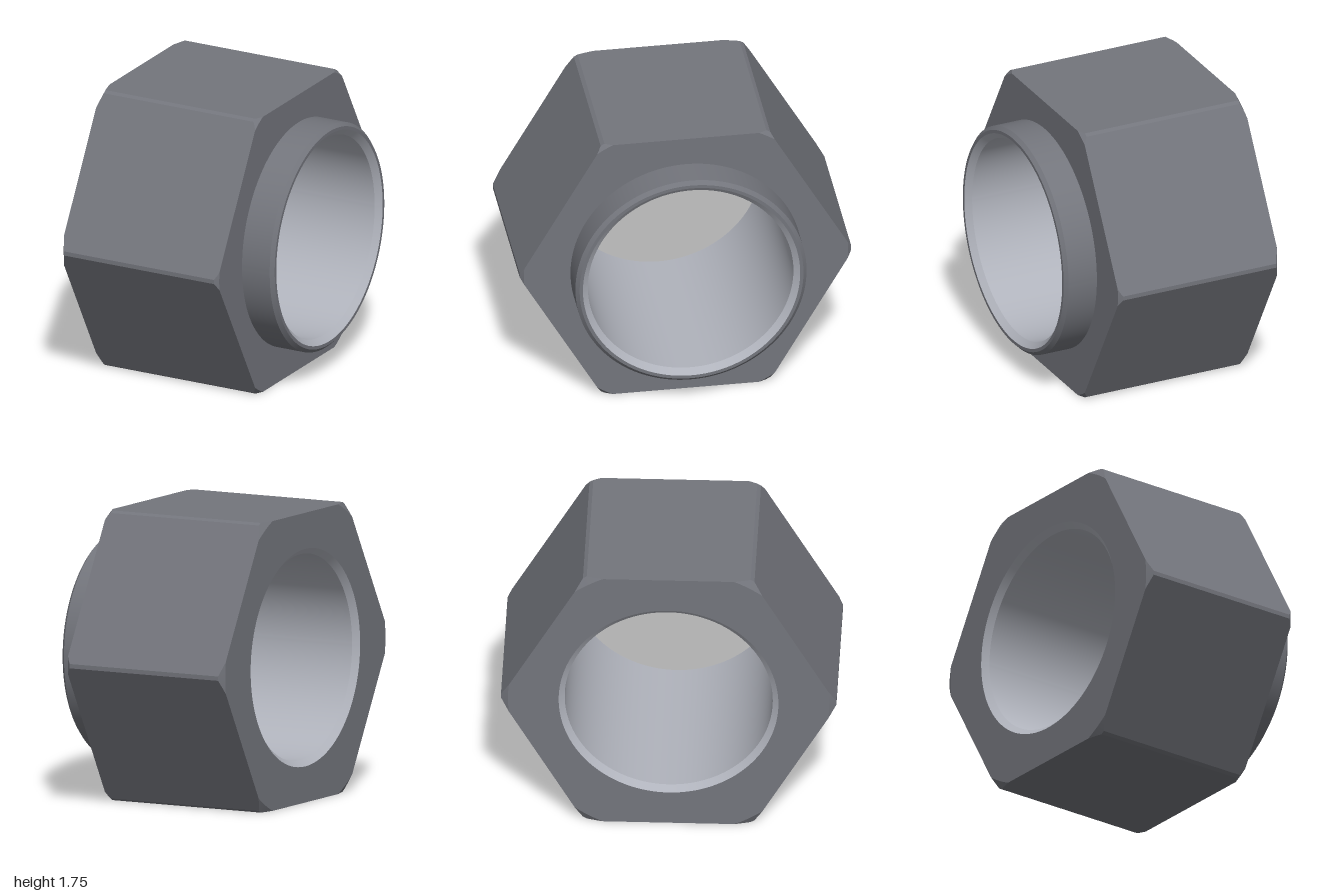
import * as THREE from 'three';
import { toCreasedNormals } from 'three/addons/utils/BufferGeometryUtils.js';

const APOTHEM = 0.8725;   // half the width across flats
const CORNER = 1;         // radius to which the six long edges are turned down
const LEFT = -0.64, SHOULDER = 0.43, RIGHT = 0.64;

// Hexagon outline with trimmed corners, as polar samples (angle, radius)
function hexOutline() {
  const flatHalf = Math.sqrt(CORNER ** 2 - APOTHEM ** 2);
  const flatSteps = 40;
  const samples = [];
  for (let side = 0; side < 6; side++) {
    const turn = side * Math.PI / 3;
    for (let i = 0; i <= flatSteps; i++) {
      const v = flatHalf * (2 * i / flatSteps - 1);
      samples.push({ angle: turn + Math.atan2(v, APOTHEM), radius: Math.hypot(APOTHEM, v) });
    }
    samples.push({ angle: turn + Math.PI / 6, radius: CORNER });
  }
  return samples;
}

// Skin a series of rings around the x axis; each ring maps the hexagon radius to [x, radius]
function loft(outline, rings) {
  const grid = rings.map(ring => outline.map(({ angle, radius }) => {
    const [x, r] = ring(radius);
    return new THREE.Vector3(x, r * Math.cos(angle), r * Math.sin(angle));
  }));
  const points = [];
  const triangle = (a, b, c) => {
    const same = (p, q) => p.distanceToSquared(q) < 1e-12;
    if (!same(a, b) && !same(b, c) && !same(c, a)) points.push(a, b, c);
  };
  const n = outline.length;
  for (let i = 0; i < grid.length - 1; i++) {
    for (let j = 0; j < n; j++) {
      const k = (j + 1) % n;
      triangle(grid[i][j], grid[i][k], grid[i + 1][j]);
      triangle(grid[i][k], grid[i + 1][k], grid[i + 1][j]);
    }
  }
  return toCreasedNormals(new THREE.BufferGeometry().setFromPoints(points), 0.3);
}

export function createModel() {
  const group = new THREE.Group();
  group.name = 'hexNut';
  const darkSteel = new THREE.MeshStandardMaterial({ color: 0x73757c });
  const brightSteel = new THREE.MeshStandardMaterial({ color: 0xb0b3bc });
  const outline = hexOutline();
  const circle = (x, r) => () => [x, r];

  const add = (name, material, rings) => {
    const mesh = new THREE.Mesh(loft(outline, rings), material);
    mesh.name = name;
    mesh.position.y = APOTHEM;
    group.add(mesh);
  };

  // Hexagonal body, its corners cut by a cone at each end
  const leftCone = 0.957, leftSlope = 0.6, rightCone = 0.978, rightSlope = 1.1;
  add('hexBody', darkSteel, [
    circle(LEFT, 0.655),
    h => [LEFT, Math.min(h, leftCone)],
    h => [LEFT + Math.max(0, h - leftCone) * leftSlope, h],
    h => [SHOULDER - Math.max(0, h - rightCone) * rightSlope, h],
    h => [SHOULDER, Math.min(h, rightCone)],
    circle(SHOULDER, 0.697),
  ]);

  // Round collar with bevelled rim
  add('collar', darkSteel, [
    circle(SHOULDER, 0.697),
    circle(RIGHT - 0.022, 0.697),
    circle(RIGHT, 0.675),
    circle(RIGHT, 0.655),
  ]);

  // Through bore, countersunk at both ends
  add('bore', brightSteel, [
    circle(RIGHT, 0.655),
    circle(RIGHT - 0.035, 0.62),
    circle(LEFT + 0.035, 0.62),
    circle(LEFT, 0.655),
  ]);

  return group;
}
